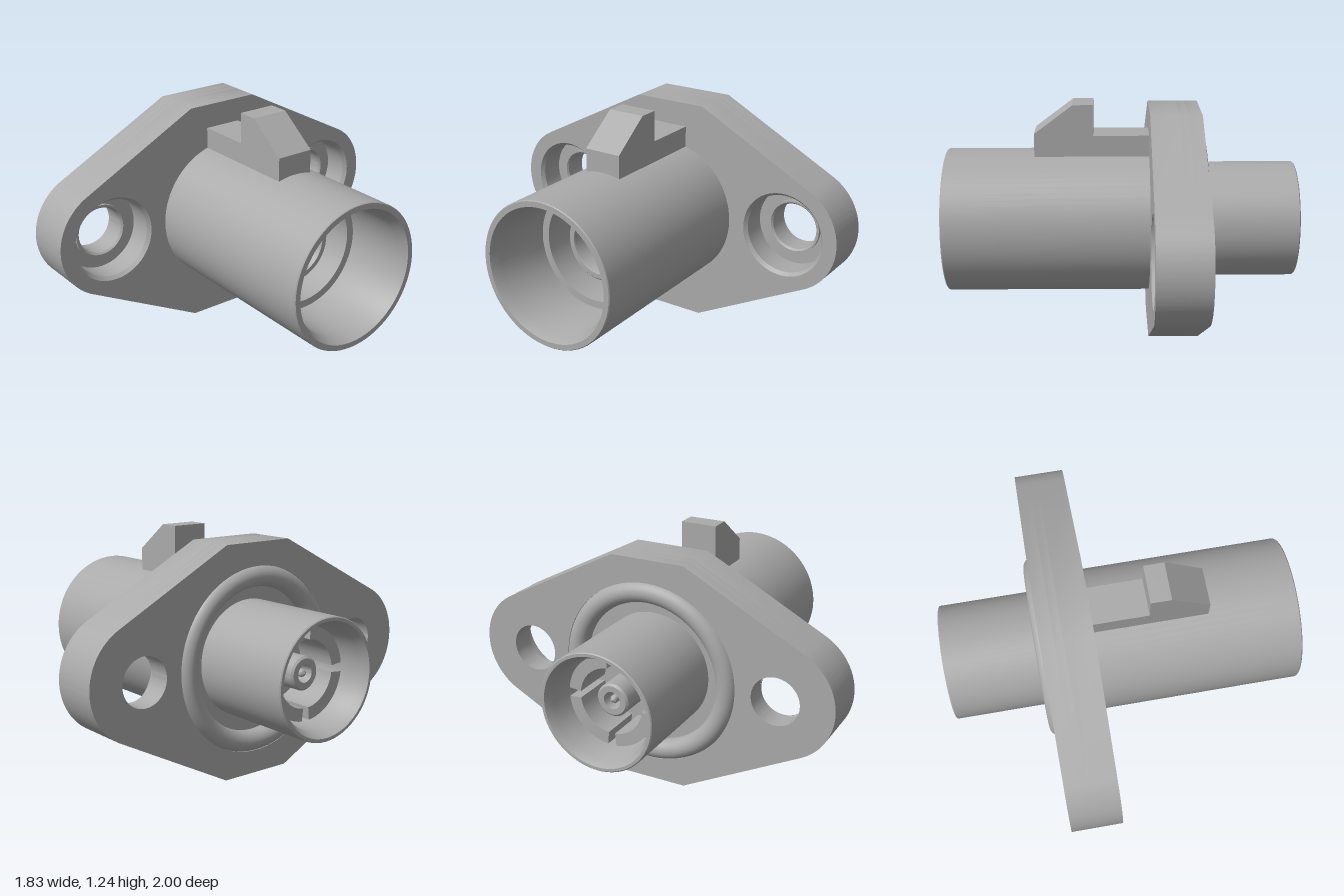
import * as THREE from 'three';
import { toCreasedNormals } from 'three/addons/utils/BufferGeometryUtils.js';

const AXIS_Y = 0.603, BOLT_Z = 0.695, END_R = 0.305;

export function createModel() {
  const model = new THREE.Group();
  const grey = new THREE.MeshStandardMaterial({ color: 0xaaaaaa });
  grey.name = 'plain grey';

  const add = (name, geometry, y = 0, z = 0) => {
    const mesh = new THREE.Mesh(toCreasedNormals(geometry, 0.5), grey);
    mesh.name = name;
    mesh.position.set(0, y, z);
    model.add(mesh);
  };
  // Profile of [radius, x] pairs turned about the x axis
  const turned = (name, profile, z = 0) => {
    const points = profile.map(([r, x]) => new THREE.Vector2(r, x));
    add(name, new THREE.LatheGeometry(points, 72).rotateZ(-Math.PI / 2), AXIS_Y, z);
  };
  // Shape drawn in the side plane, extruded from x0 to x1
  const plate = (name, shape, x0, x1, y = AXIS_Y) => {
    const g = new THREE.ExtrudeGeometry(shape, { depth: x1 - x0, bevelEnabled: false, curveSegments: 40 });
    add(name, g.translate(0, 0, x0).rotateY(Math.PI / 2), y);
  };
  const circle = (x, r) => new THREE.Path().absarc(x, 0, r, 0, Math.PI * 2, true);

  // Flange: flat top and bottom, tangent slopes, round ears
  const flange = (boltRadius, centreRadius) => {
    const a = 1.091;
    const s = new THREE.Shape();
    s.moveTo(-0.2, -AXIS_Y);
    s.lineTo(0.2, -AXIS_Y);
    s.absarc(BOLT_Z, 0, END_R, -a, a, false);
    s.lineTo(0.2, AXIS_Y);
    s.lineTo(-0.2, AXIS_Y);
    s.absarc(-BOLT_Z, 0, END_R, Math.PI - a, Math.PI + a, false);
    s.closePath();
    s.holes.push(circle(BOLT_Z, boltRadius), circle(-BOLT_Z, boltRadius));
    if (centreRadius) s.holes.push(circle(0, centreRadius));
    return s;
  };
  plate('flangeRearWithSealGroove', flange(0.127, 0.482), -0.41, -0.34);
  plate('flangeMiddle', flange(0.127), -0.34, -0.295);
  plate('flangeFrontWithCounterbores', flange(0.228), -0.295, -0.145);

  // Counterbore liners with a chamfered mouth, and bolt hole rims
  for (const z of [-BOLT_Z, BOLT_Z]) {
    turned('counterboreLiner', [[0.229, -0.295], [0.229, -0.145], [0.212, -0.165], [0.212, -0.295]], z);
    turned('boltHoleRim', [[0.145, -0.297], [0.145, -0.275], [0.135, -0.275], [0.126, -0.285], [0.126, -0.297]], z);
  }

  // Sealing ring set in the rear groove
  add('sealRing', new THREE.TorusGeometry(0.43, 0.055, 24, 72).rotateY(Math.PI / 2).translate(-0.385, 0, 0), AXIS_Y);

  // Rear spigot and front barrel, each bored from its own end
  turned('barrelBody', [
    [0, -0.55], [0.255, -0.55], [0.26, -0.87], [0.285, -0.915], [0.3, -0.915], [0.305, -0.91],
    [0.305, -0.3], [0.38, -0.3], [0.38, 0.91], [0.376, 0.915], [0.348, 0.915],
    [0.325, 0.86], [0.32, 0.55], [0.28, 0.55], [0.28, 0.2], [0, 0.2],
  ]);

  // Front contact: outer sleeve, insulator and socket
  turned('frontSleeve', [[0.19, 0.2], [0.19, 0.49], [0.18, 0.5], [0.155, 0.5], [0.15, 0.49], [0.15, 0.2]]);
  turned('frontInsulator', [[0.105, 0.2], [0.105, 0.4], [0.07, 0.4], [0.07, 0.38], [0, 0.38]]);
  turned('frontSocket', [[0.05, 0.38], [0.05, 0.44], [0.04, 0.45], [0.025, 0.45], [0.015, 0.41], [0, 0.41]]);

  // Rear contact: four slotted petals around a socket
  for (let i = 0; i < 4; i++) {
    const a0 = i * Math.PI / 2 + 0.1, a1 = (i + 1) * Math.PI / 2 - 0.1;
    const s = new THREE.Shape();
    s.absarc(0, 0, 0.235, a0, a1, false);
    s.absarc(0, 0, 0.17, a1, a0, true);
    s.closePath();
    plate('rearPetal', s, -0.77, -0.54);
  }
  turned('rearSocket', [[0, -0.68], [0.04, -0.68], [0.045, -0.76], [0.075, -0.76], [0.085, -0.75], [0.085, -0.54]]);
  turned('rearPin', [[0, -0.76], [0.015, -0.75], [0.02, -0.74], [0.02, -0.67]]);

  // Latch rail with a ramped catch on top of the barrel
  const latch = new THREE.Shape([
    [-0.15, 0.95], [0.45, 0.95], [0.45, 1.09], [0.25, 1.24], [0.145, 1.24], [0.145, 1.08], [-0.15, 1.08],
  ].map(([x, y]) => new THREE.Vector2(x, y)));
  add('latch', new THREE.ExtrudeGeometry(latch, { depth: 0.2, bevelEnabled: false }).translate(0, 0, -0.1));

  return model;
}
